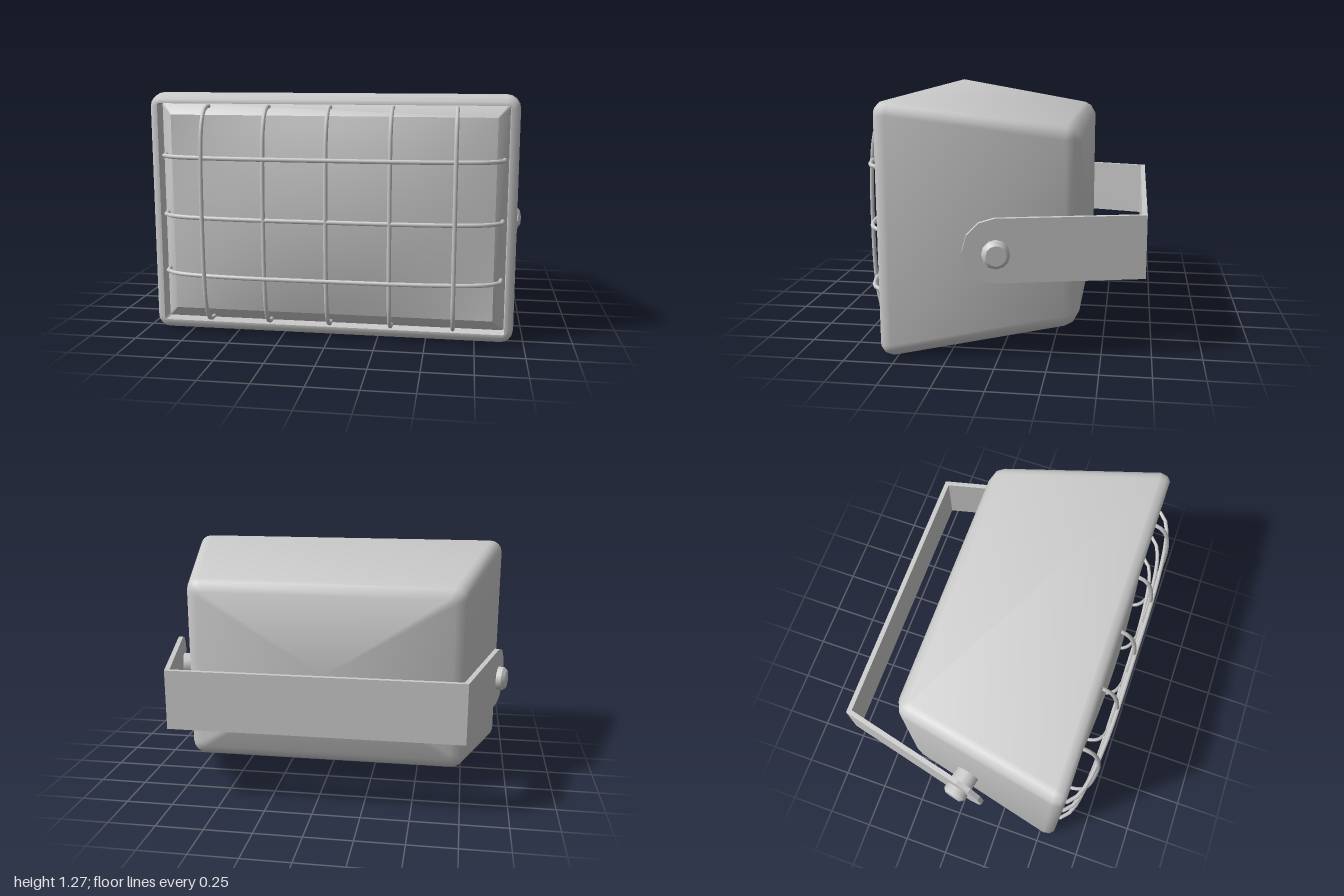
import * as THREE from 'three';
import { toCreasedNormals } from 'three/addons/utils/BufferGeometryUtils.js';

const material = new THREE.MeshStandardMaterial({ color: 0xcccccc });
const doubleSided = new THREE.MeshStandardMaterial({ color: 0xcccccc, side: THREE.DoubleSide });
const MID_Y = 0.635;      // centre height of the housing
const TILT = 0.236;       // splay of the bracket arms

function add(parent, name, geometry, mat = material) {
  const mesh = new THREE.Mesh(geometry, mat);
  mesh.name = name;
  parent.add(mesh);
  return mesh;
}

// Counter-clockwise rounded rectangle in the xy plane
function roundedRect([z, hx, hy, r], segments = 4) {
  const points = [];
  for (let corner = 0; corner < 4; corner++) {
    const sx = corner === 0 || corner === 3 ? 1 : -1;
    const sy = corner < 2 ? 1 : -1;
    for (let i = 0; i <= segments; i++) {
      const a = (corner + i / segments) * Math.PI / 2;
      points.push([sx * (hx - r) + r * Math.cos(a), sy * (hy - r) + r * Math.sin(a), z]);
    }
  }
  return points;
}

// Skin over a list of [z, halfWidth, halfHeight, cornerRadius] sections
function loft(sections, crease) {
  const rings = sections.map((s) => roundedRect(s));
  const n = rings[0].length;
  const index = [];
  for (let i = 0; i < rings.length - 1; i++) {
    for (let j = 0; j < n; j++) {
      const k = (j + 1) % n;
      const a = i * n + j, b = a + n, c = (i + 1) * n + k, d = i * n + k;
      index.push(a, b, c, a, c, d);
    }
  }
  const geometry = new THREE.BufferGeometry();
  geometry.setAttribute('position', new THREE.Float32BufferAttribute(rings.flat(2), 3));
  geometry.setIndex(index);
  return toCreasedNormals(geometry, crease);
}

function wire(points) {
  const curve = new THREE.CatmullRomCurve3(points);
  return new THREE.TubeGeometry(curve, 32, 0.011, 8, false);
}

export function createModel() {
  const model = new THREE.Group();
  model.name = 'floodlight';

  // Tapered housing with a rounded rim and an open, recessed front
  const housing = loft([
    [0.50, 0.90, 0.58, 0.01],
    [0.58, 0.90, 0.58, 0.01],
    [0.58, 0.92, 0.60, 0.04],
    [0.558, 0.942, 0.624, 0.06],
    [0.52, 0.948, 0.635, 0.07],
    [-0.315, 0.765, 0.507, 0.07],
    [-0.355, 0.745, 0.487, 0.06],
    [-0.383, 0.69, 0.44, 0.03],
    [-0.383, 0, 0, 0],
  ], 0.85);
  add(model, 'housing', housing).position.y = MID_Y;

  // Lens: sloping border and a gently bulging pane
  const lens = new THREE.Group();
  lens.name = 'lens';
  lens.position.y = MID_Y;
  model.add(lens);
  add(lens, 'lensBorder', loft([
    [0.549, 0.84, 0.52, 0.001],
    [0.50, 0.90, 0.58, 0.01],
  ], 0.5));
  const pane = new THREE.PlaneGeometry(1.68, 1.04, 24, 16);
  const p = pane.attributes.position;
  for (let i = 0; i < p.count; i++) {
    const u = p.getX(i) / 0.84, v = p.getY(i) / 0.52;
    p.setZ(i, 0.549 + 0.066 * (1 - u * u) * (1 - v * v));
  }
  pane.computeVertexNormals();
  add(lens, 'lensPane', pane, doubleSided);

  // Wire guard: [distance from middle, z] along half a wire, mirrored to the other half
  const guard = new THREE.Group();
  guard.name = 'wireGuard';
  model.add(guard);
  const fullPath = (half) => [
    ...half.map(([d, z]) => [-d, z]), [0, 0.692], ...half.slice().reverse(),
  ];
  const vertical = fullPath([[0.565, 0.53], [0.562, 0.58], [0.535, 0.625], [0.465, 0.66], [0.32, 0.683]]);
  const horizontal = fullPath([[0.878, 0.53], [0.87, 0.585], [0.83, 0.625], [0.75, 0.656], [0.5, 0.685]]);
  for (const x of [-0.64, -0.32, 0, 0.32, 0.64]) {
    add(guard, 'verticalWire', wire(vertical.map(([d, z]) => new THREE.Vector3(x, MID_Y + d, z))));
  }
  for (const y of [0.33, 0.635, 0.945]) {
    add(guard, 'horizontalWire', wire(horizontal.map(([d, z]) => new THREE.Vector3(d, y, z))));
  }

  // U-shaped bracket
  const thickness = 0.026, armY = 0.567, armHalf = 0.158, pivot = 0.73;
  const bracket = new THREE.Group();
  bracket.name = 'bracket';
  model.add(bracket);
  add(bracket, 'bracketBack', new THREE.BoxGeometry(1.54, armHalf * 2, thickness))
    .position.set(0, armY, -0.71 + thickness / 2);

  // Arm outline, rounded at the pivot end
  const outline = new THREE.Shape();
  outline.moveTo(0, -armHalf);
  for (let i = 0; i <= 6; i++) {
    const a = -Math.PI / 2 + i * Math.PI / 6;
    outline.lineTo(pivot + armHalf * Math.cos(a), armHalf * Math.sin(a));
  }
  outline.lineTo(0, armHalf);

  // Spacer and bolt head, turned about the pivot axis
  const turned = (profile) => toCreasedNormals(
    new THREE.LatheGeometry(profile.map(([r, h]) => new THREE.Vector2(r, h)), 12)
      .rotateZ(-Math.PI / 2), 0.6);

  for (const side of [1, -1]) {
    const label = side > 0 ? 'left' : 'right';
    const armGeometry = new THREE.ExtrudeGeometry(outline, { depth: thickness, bevelEnabled: false });
    if (side < 0) armGeometry.translate(0, 0, -thickness);
    const arm = add(bracket, label + 'Arm', armGeometry);
    arm.position.set(side * 0.77, armY, -0.71);
    arm.rotation.y = -(Math.PI / 2 - side * TILT);

    const bolt = new THREE.Group();
    bolt.name = label + 'Pivot';
    bolt.position.set(side * 0.935, 0.555, 0);
    bolt.rotation.y = side > 0 ? TILT : Math.PI - TILT;
    model.add(bolt);
    add(bolt, 'spacer', turned([[0, -0.13], [0.068, -0.13], [0.068, -0.015], [0, -0.015]]));
    add(bolt, 'boltHead', turned([[0, -0.01], [0.068, -0.01], [0.068, 0.035], [0.05, 0.054], [0, 0.054]]));
  }
  return model;
}
